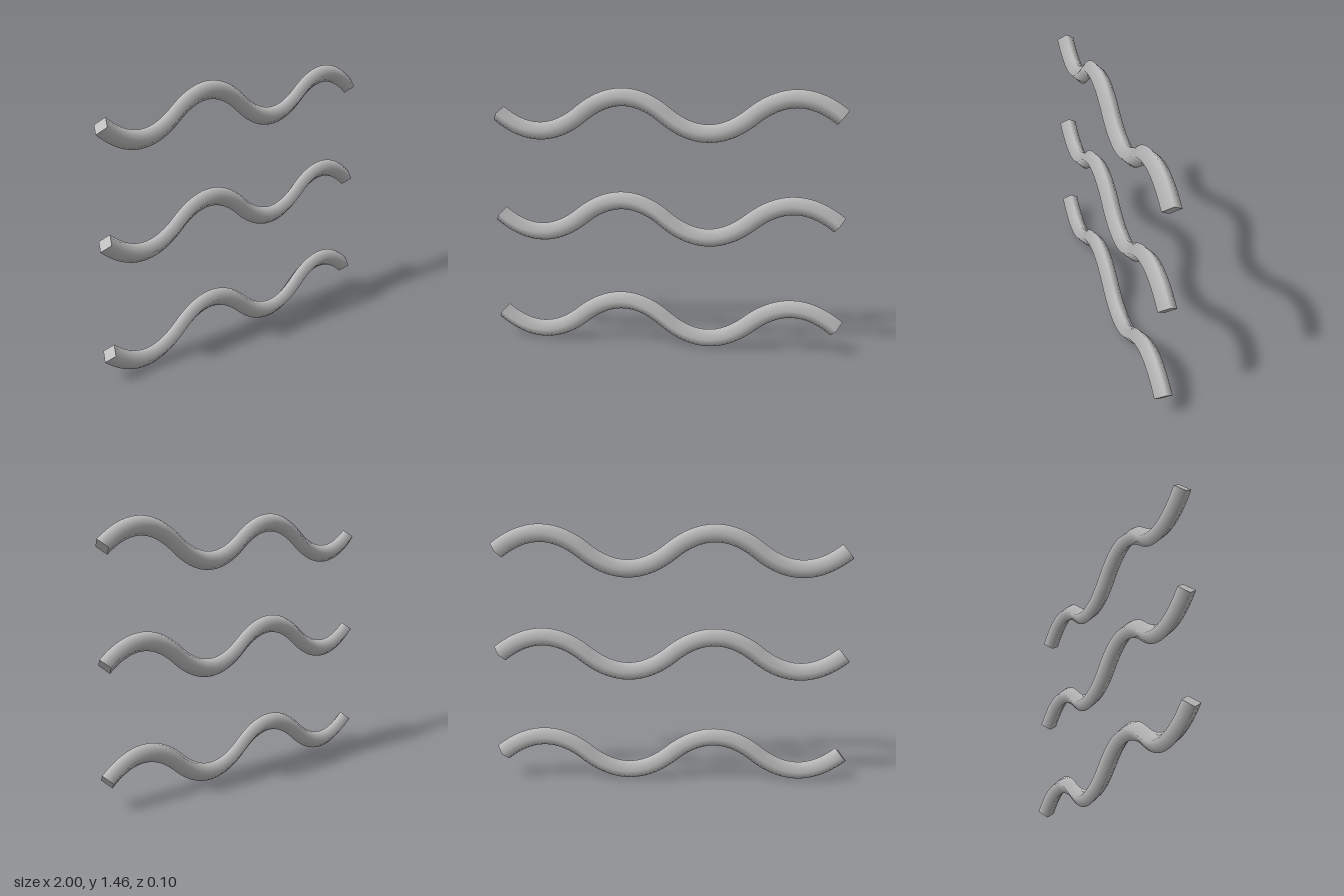
import * as THREE from 'three';

const RADIUS = 0.05;
const HALF = 0.4845; // length of one half wave
const RISE = 0.0975; // height of a crest above the middle line
const MID = 0.1475;
const SPACING = 0.581;

// Centre line: alternating troughs and crests made of parabolic arcs
function wavePath() {
  const path = new THREE.CurvePath();
  for (let i = 0; i < 4; i++) {
    const x = (i - 2) * HALF;
    const bend = (i % 2 ? 1 : -1) * RISE * 2;
    path.add(new THREE.QuadraticBezierCurve3(
      new THREE.Vector3(x, 0, 0),
      new THREE.Vector3(x + HALF / 2, bend, 0),
      new THREE.Vector3(x + HALF, 0, 0)
    ));
  }
  return path;
}

export function createModel() {
  const model = new THREE.Group();
  model.name = 'waves';
  const grey = new THREE.MeshStandardMaterial({ color: 0xc0c0c0 });
  grey.name = 'grey';

  const path = wavePath();
  const tube = new THREE.TubeGeometry(path, 96, RADIUS, 4, false);
  const cap = new THREE.CircleGeometry(RADIUS, 4);

  ['lowerWave', 'middleWave', 'upperWave'].forEach((name, i) => {
    const wave = new THREE.Group();
    wave.name = name;

    // Four-sided wavy bar
    const bar = new THREE.Mesh(tube, grey);
    bar.name = 'bar';
    wave.add(bar);

    // Flat diamond caps facing outwards along the path
    for (const [end, sign, label] of [[0, -1, 'rightCap'], [1, 1, 'leftCap']]) {
      const mesh = new THREE.Mesh(cap, grey);
      mesh.name = label;
      mesh.position.copy(path.getPoint(end));
      mesh.lookAt(mesh.position.clone().addScaledVector(path.getTangent(end), sign));
      wave.add(mesh);
    }

    wave.position.y = MID + i * SPACING;
    model.add(wave);
  });
  return model;
}
